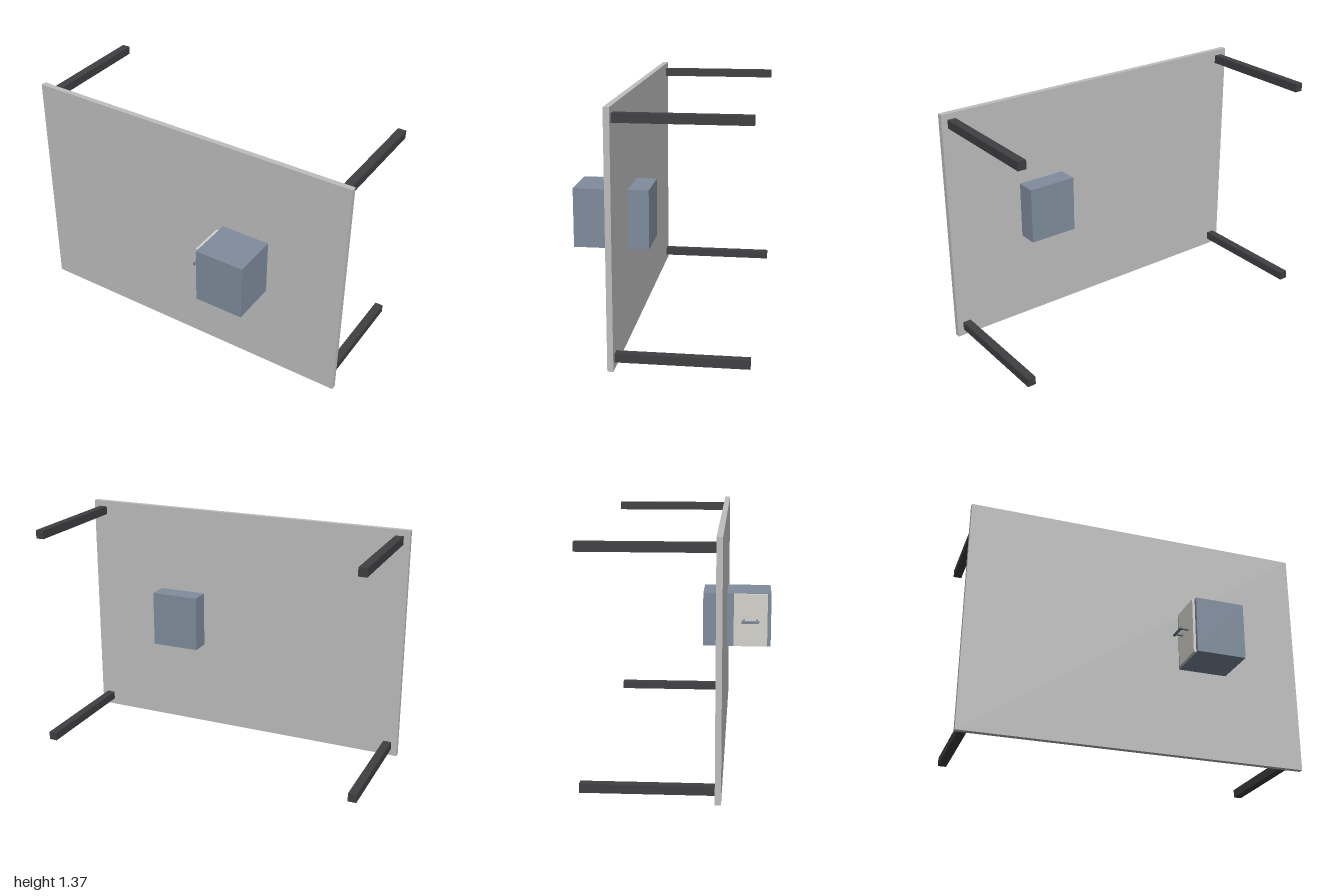
import * as THREE from 'three';

export function createModel() {
  const group = new THREE.Group();
  const mat = (name, color) => {
    const m = new THREE.MeshStandardMaterial({ color });
    m.name = name;
    return m;
  };
  const panelGrey = mat('panelGrey', 0xbfbfbf);
  const legDark = mat('legDark', 0x404043);
  const cabinetBlue = mat('cabinetBlue', 0x808d9e);
  const drawerCream = mat('drawerCream', 0xd6d4cc);
  const handleSteel = mat('handleSteel', 0x71808f);

  const add = (name, geometry, material, x, y, z) => {
    const mesh = new THREE.Mesh(geometry, material);
    mesh.name = name;
    mesh.position.set(x, y, z);
    group.add(mesh);
    return mesh;
  };
  // Box given by its low and high corners
  const box = (name, material, lo, hi) => add(
    name,
    new THREE.BoxGeometry(hi[0] - lo[0], hi[1] - lo[1], hi[2] - lo[2]),
    material,
    (lo[0] + hi[0]) / 2, (lo[1] + hi[1]) / 2, (lo[2] + hi[2]) / 2
  );

  // Table top standing upright on its long edge
  box('tableTop', panelGrey, [-1, 0, 0.198], [1, 1.368, 0.23]);

  // Four square legs pointing to the back
  for (const x of [-0.94, 0.94]) {
    for (const y of [0.061, 1.31]) {
      box('leg', legDark, [x - 0.024, y - 0.024, -0.5], [x + 0.024, y + 0.024, 0.198]);
    }
  }

  // Cabinet passing through the top, with a drawer front on its right side
  box('cabinet', cabinetBlue, [0.253, 0.52, 0.083], [0.542, 0.851, 0.5]);
  box('drawerFront', drawerCream, [0.238, 0.522, 0.271], [0.253, 0.849, 0.478]);

  // Bar handle on two posts
  const bar = add('handleBar', new THREE.CylinderGeometry(0.008, 0.008, 0.107, 16), handleSteel, 0.19, 0.686, 0.373);
  bar.rotation.x = Math.PI / 2;
  for (const z of [0.334, 0.412]) {
    const post = add('handlePost', new THREE.CylinderGeometry(0.006, 0.006, 0.048, 12), handleSteel, 0.214, 0.686, z);
    post.rotation.z = Math.PI / 2;
  }
  return group;
}
